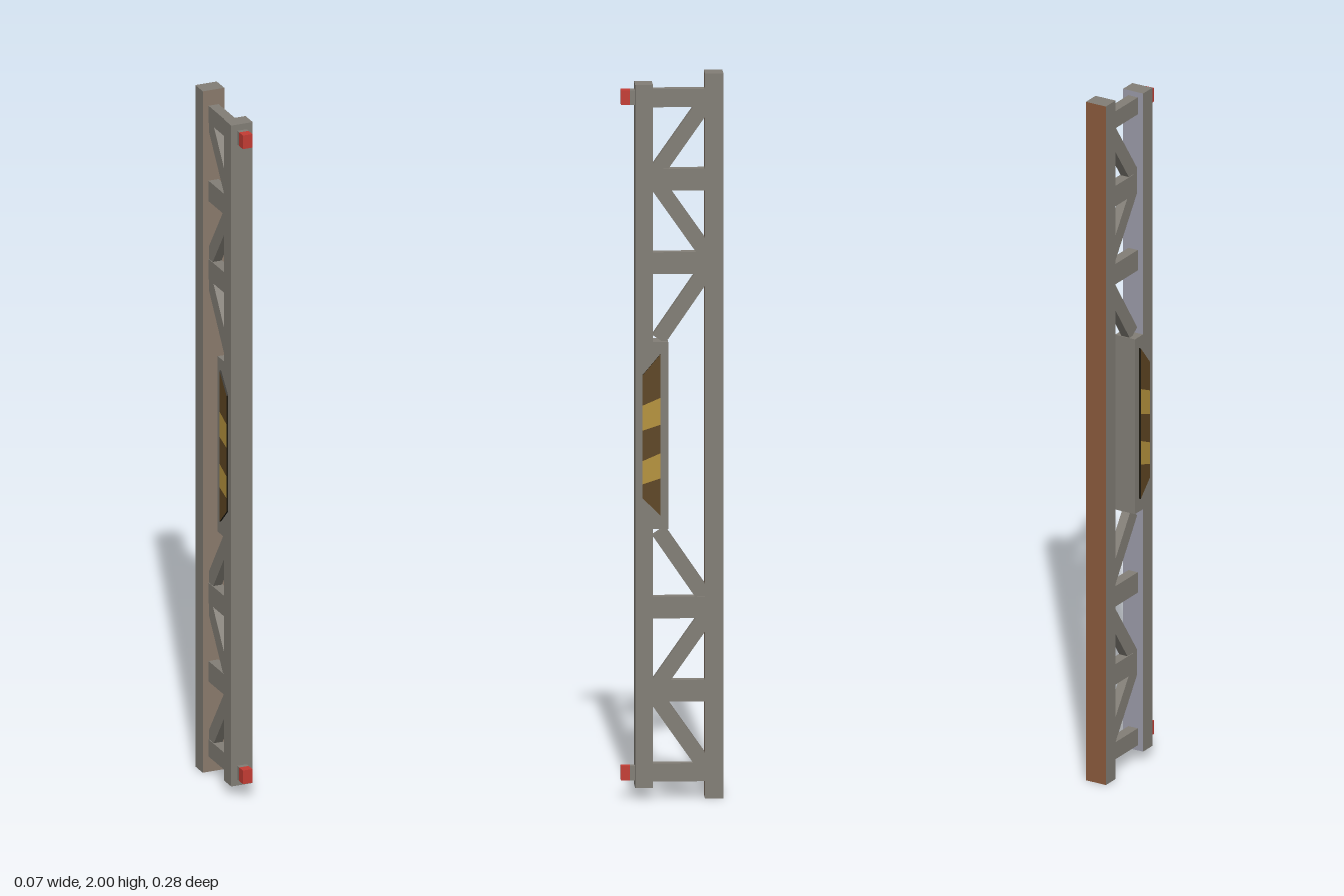
import * as THREE from 'three';

const mat = (name, color) => {
  const m = new THREE.MeshStandardMaterial({ color });
  m.name = name;
  return m;
};

export function createModel() {
  const steel = mat('steel grey', 0x827e76);
  const rust = mat('rust brown', 0x8a5a3c);
  const paleSteel = mat('pale blue steel', 0x9a9aa8);
  const warmSteel = mat('warm steel', 0x8a7a6c);
  const red = mat('lamp red', 0xc43c34);
  const gold = mat('stripe gold', 0xb5923c);
  const brown = mat('stripe brown', 0x5e4522);
  const black = mat('plate edge black', 0x1c180e);

  const model = new THREE.Group();
  model.name = 'trussPost';

  // Box given by half width and its y and z ranges
  const box = (name, halfX, y0, y1, z0, z1, material = steel) => {
    const mesh = new THREE.Mesh(new THREE.BoxGeometry(halfX * 2, y1 - y0, z1 - z0), material);
    mesh.position.set(0, (y0 + y1) / 2, (z0 + z1) / 2);
    mesh.name = name;
    model.add(mesh);
    return mesh;
  };

  // Diagonal bar between two (z, y) points
  const strut = (z0, y0, z1, y1) => {
    const length = Math.hypot(z1 - z0, y1 - y0);
    const mesh = new THREE.Mesh(new THREE.BoxGeometry(0.026, length, 0.042), steel);
    mesh.position.set(0, (y0 + y1) / 2, (z0 + z1) / 2);
    mesh.rotation.x = Math.atan2(z1 - z0, y1 - y0);
    mesh.name = 'diagonalBrace';
    model.add(mesh);
  };

  // Uprights; face order is +x, -x, +y, -y, +z, -z
  box('backBeam', 0.032, 0, 2, -0.14, -0.09, [steel, steel, steel, steel, warmSteel, rust]);
  box('frontBeam', 0.032, 0.03, 1.97, 0.052, 0.1, [steel, steel, steel, steel, steel, paleSteel]);
  box('middleBlock', 0.032, 0.745, 1.26, 0.01, 0.052);

  // Bracing and lamps, mirrored about mid height
  for (const flip of [false, true]) {
    const Y = (y) => (flip ? 2 - y : y);
    const span = (name, halfX, a, b, z0, z1, m) =>
      box(name, halfX, Math.min(Y(a), Y(b)), Math.max(Y(a), Y(b)), z0, z1, m);

    span('crossBar', 0.015, 1.905, 1.955, -0.095, 0.055);
    span('crossBar', 0.015, 1.675, 1.735, -0.095, 0.03);
    span('crossBar', 0.015, 1.445, 1.505, -0.095, 0.055);

    strut(-0.095, Y(1.92), 0.052, Y(1.71));
    strut(0.052, Y(1.71), -0.095, Y(1.5));
    strut(-0.095, Y(1.455), 0.035, Y(1.265));

    span('lampBase', 0.014, 1.912, 1.952, 0.1, 0.113);
    span('lamp', 0.014, 1.912, 1.952, 0.113, 0.138, red);
  }

  // Warning plates: bands cut between [front edge y, back edge y] levels
  const levels = [[0.83, 0.783], [0.869, 0.885], [0.933, 0.954], [1.017, 1.033], [1.086, 1.107], [1.17, 1.227]];
  const front = 0.08, back = 0.032;
  for (const side of [1, -1]) {
    const plate = new THREE.Group();
    plate.name = side > 0 ? 'leftWarningPlate' : 'rightWarningPlate';
    for (let i = 0; i < levels.length - 1; i++) {
      const [f0, b0] = levels[i], [f1, b1] = levels[i + 1];
      const shape = new THREE.Shape([
        new THREE.Vector2(-front, f0), new THREE.Vector2(-back, b0),
        new THREE.Vector2(-back, b1), new THREE.Vector2(-front, f1),
      ]);
      const geometry = new THREE.ExtrudeGeometry(shape, { depth: 0.006, bevelEnabled: false });
      geometry.rotateY(Math.PI / 2);
      const band = new THREE.Mesh(geometry, [i % 2 ? gold : brown, black]);
      band.position.x = side > 0 ? 0.031 : -0.037;
      band.name = 'warningStripe';
      plate.add(band);
    }
    model.add(plate);
  }

  return model;
}
